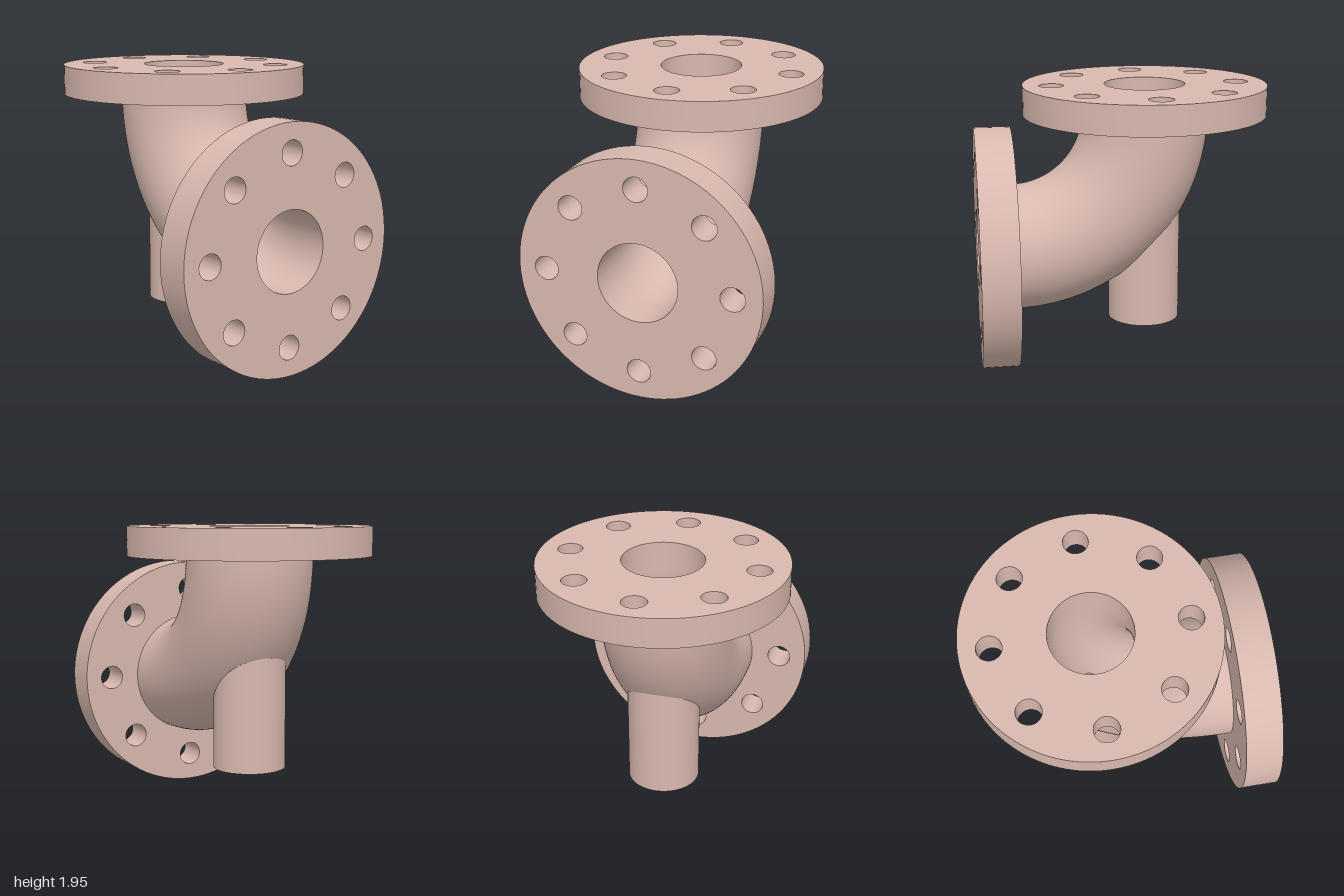
import * as THREE from 'three';
import { toCreasedNormals } from 'three/addons/utils/BufferGeometryUtils.js';

// Main dimensions
const BEND = 0.917, PIPE = 0.433, BORE = 0.275;   // bend radius, pipe and bore radii
const CY = 1.75, CZ = 0.75;                       // centre of the bend
const AXIS_Z = CZ - BEND, AXIS_Y = CY - BEND;     // axes of the two flanges
const FLANGE = 0.833, BOLT_CIRCLE = 0.637, BOLT = 0.083;
const BRANCH = 0.25, DRAIN = 0.083, BRANCH_BOTTOM = 0.283;

// Height of the underside of a bent tube of radius rho at (x, z)
function undersideY(rho, x, z) {
  const d = BEND + Math.sqrt(rho * rho - x * x);
  return CY - Math.sqrt(d * d - (CZ - z) ** 2);
}

// Quarter bend wall with a round opening cut upwards along the branch axis
function bendWall(rho, opening, inward) {
  const along = 64, around = 96;
  const pos = [], inside = [], index = [];
  for (let i = 0; i <= along; i++) {
    const t = (i / along) * Math.PI / 2;
    for (let j = 0; j < around; j++) {
      const p = (j / around) * Math.PI * 2;
      const d = BEND + rho * Math.cos(p);
      const x = rho * Math.sin(p), z = CZ - d * Math.cos(t);
      pos.push(new THREE.Vector3(x, CY - d * Math.sin(t), z));
      inside.push(Math.hypot(x, z - AXIS_Z) < opening - 1e-6);
    }
  }
  const addTriangle = (a, b, c) => {
    if (inside[a] && inside[b] && inside[c]) return;
    if (inward) index.push(a, c, b);
    else index.push(a, b, c);
  };
  for (let i = 0; i < along; i++) {
    for (let j = 0; j < around; j++) {
      const k = (j + 1) % around;
      const a = i * around + j, b = i * around + k;
      addTriangle(a, b, a + around);
      addTriangle(b, b + around, a + around);
    }
  }
  // Push the remaining inner vertices out onto the rim of the opening
  const normals = [];
  pos.forEach((v, n) => {
    if (inside[n]) {
      const r = Math.hypot(v.x, v.z - AXIS_Z) || 1;
      v.x *= opening / r;
      v.z = AXIS_Z + (v.z - AXIS_Z) * opening / r;
      v.y = undersideY(rho, v.x, v.z);
    }
    const dy = v.y - CY, dz = v.z - CZ, d = Math.hypot(dy, dz);
    const k = (d - BEND) / d;
    const normal = new THREE.Vector3(v.x, dy * k, dz * k).normalize();
    if (inward) normal.negate();
    normals.push(normal.x, normal.y, normal.z);
  });
  const geo = new THREE.BufferGeometry();
  geo.setAttribute('position', new THREE.Float32BufferAttribute(pos.flatMap(v => [v.x, v.y, v.z]), 3));
  geo.setAttribute('normal', new THREE.Float32BufferAttribute(normals, 3));
  geo.setIndex(index);
  return geo;
}

// Vertical tube whose top edge follows the underside of the bend
function branchWall(radius, rho) {
  const geo = new THREE.CylinderGeometry(radius, radius, 1, 64, 1, true);
  const p = geo.attributes.position;
  for (let i = 0; i < p.count; i++) {
    const x = p.getX(i), z = p.getZ(i) + AXIS_Z;
    p.setXYZ(i, x, p.getY(i) > 0 ? undersideY(rho, x, z) : BRANCH_BOTTOM, z);
  }
  return geo;
}

// Disc with a central bore and a circle of bolt holes, extruded along +z
function flangeGeometry(depth) {
  const shape = new THREE.Shape().absarc(0, 0, FLANGE, 0, Math.PI * 2, false);
  const cut = (x, y, r) =>
    shape.holes.push(new THREE.Path().absarc(x, y, r, 0, Math.PI * 2, true));
  cut(0, 0, BORE);
  for (let i = 0; i < 8; i++) {
    const a = (i * Math.PI) / 4;
    cut(BOLT_CIRCLE * Math.cos(a), BOLT_CIRCLE * Math.sin(a), BOLT);
  }
  const geo = new THREE.ExtrudeGeometry(shape, { depth, bevelEnabled: false, curveSegments: 48 });
  return toCreasedNormals(geo, 0.6);
}

export function createModel() {
  const group = new THREE.Group();
  const color = 0xd8b8ae;
  const outer = new THREE.MeshStandardMaterial({ color });
  const inner = new THREE.MeshStandardMaterial({ color, side: THREE.BackSide });

  const add = (name, geo, material = outer) => {
    const mesh = new THREE.Mesh(geo, material);
    mesh.name = name;
    group.add(mesh);
    return mesh;
  };

  // Flanges
  add('frontFlange', flangeGeometry(0.25)).position.set(0, AXIS_Y, CZ);
  const top = add('topFlange', flangeGeometry(0.2));
  top.rotation.x = -Math.PI / 2;
  top.position.set(0, CY, AXIS_Z);

  // Elbow and its bore
  add('elbowPipe', bendWall(PIPE, BRANCH, false));
  add('elbowBore', bendWall(BORE, DRAIN, true));

  // Lower branch with its drain hole
  add('branchPipe', branchWall(BRANCH, PIPE));
  add('drainHole', branchWall(DRAIN, BORE), inner);
  const end = add('branchEnd', new THREE.RingGeometry(DRAIN, BRANCH, 64));
  end.rotation.x = Math.PI / 2;
  end.position.set(0, BRANCH_BOTTOM, AXIS_Z);

  return group;
}
